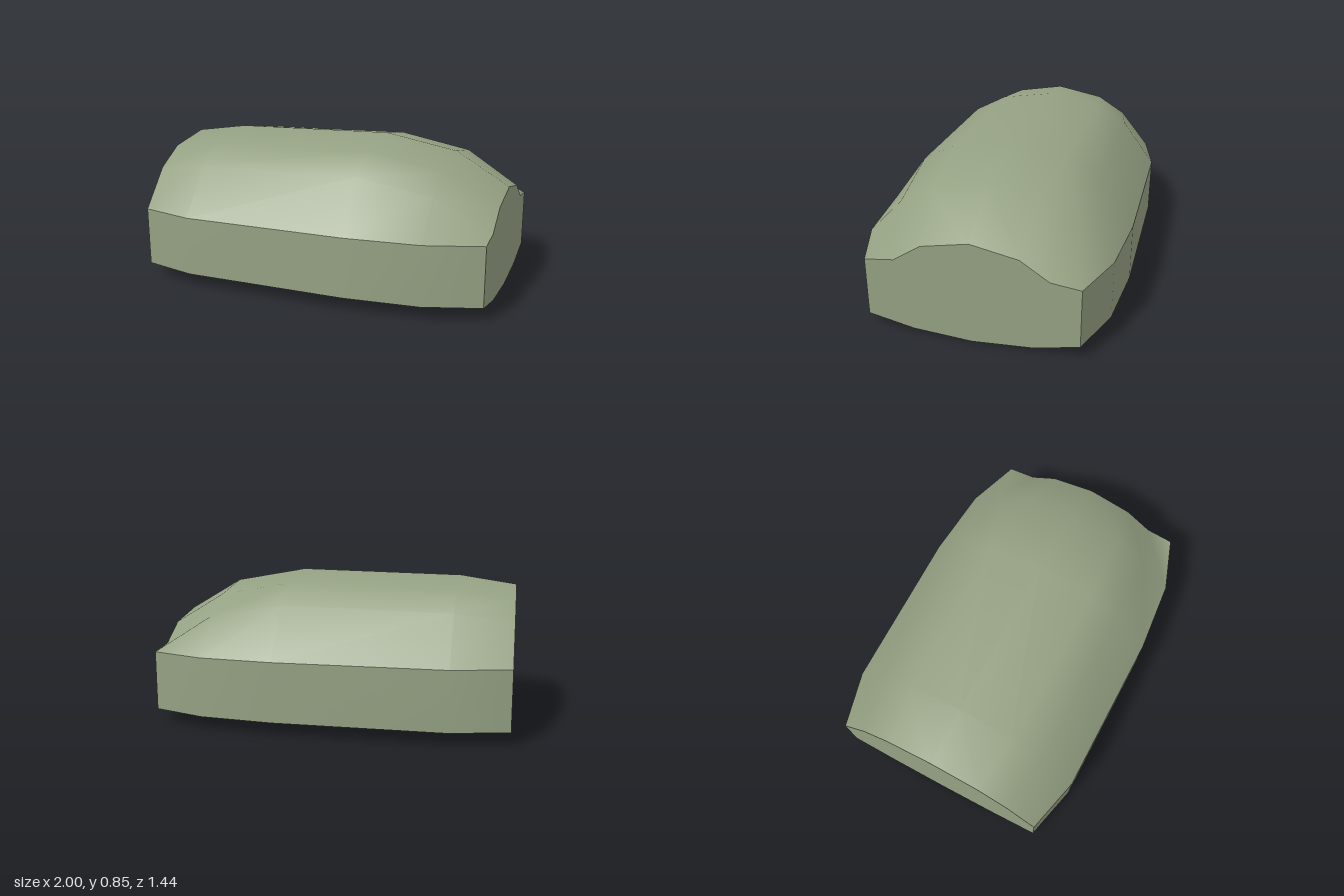
import * as THREE from 'three';

// Stations along the length: x, half width, crown height
const stations = [
  [-1, 0.627, 0.78],
  [-0.68, 0.708, 0.827],
  [0.27, 0.72, 0.845],
  [0.69, 0.685, 0.768],
  [1, 0.58, 0.585],
];
const SILL = 0.075;
const SHOULDER = 0.41;

// Cross-section strips as [z, y], running anticlockwise seen from -x
const roof = ([, w, top]) => [
  [w, SHOULDER], [w * 0.72, top - 0.155], [w * 0.45, top - 0.052], [0, top],
  [-w * 0.45, top - 0.052], [-w * 0.72, top - 0.155], [-w, SHOULDER],
];
const nearWall = ([, w]) => [[w, SILL], [w, SHOULDER]];
const farWall = ([, w]) => [[-w, SHOULDER], [-w, SILL]];
const belly = ([, w]) => [
  [-w, SILL], [-w * 0.56, 0.022], [0, 0], [w * 0.56, 0.022], [w, SILL],
];

// Smooth skin stretched along the stations
function loft(profile) {
  const positions = [];
  const index = [];
  const n = profile(stations[0]).length;
  stations.forEach((s, i) => {
    for (const [z, y] of profile(s)) positions.push(s[0], y, z);
    if (i === 0) return;
    for (let j = 0; j < n - 1; j++) {
      const a = (i - 1) * n + j;
      const b = i * n + j;
      index.push(a, b, b + 1, a, b + 1, a + 1);
    }
  });
  const geometry = new THREE.BufferGeometry();
  geometry.setAttribute('position', new THREE.Float32BufferAttribute(positions, 3));
  geometry.setIndex(index);
  geometry.computeVertexNormals();
  return geometry;
}

// Flat end panel closing the full cross-section
function endPanel(station, side) {
  const outline = [...roof(station), ...belly(station)].map(([z, y]) => new THREE.Vector2(z, y));
  const geometry = new THREE.ShapeGeometry(new THREE.Shape(outline));
  geometry.rotateY(side * Math.PI / 2);
  geometry.translate(station[0], 0, 0);
  return geometry;
}

export function createModel() {
  const model = new THREE.Group();
  model.name = 'roundedShell';
  const shell = new THREE.MeshStandardMaterial({ color: 0x95a183 });
  shell.name = 'sageGreen';
  const base = new THREE.MeshStandardMaterial({ color: 0x4a4d46 });
  base.name = 'charcoal';

  const add = (name, geometry, material) => {
    const mesh = new THREE.Mesh(geometry, material);
    mesh.name = name;
    model.add(mesh);
  };

  add('roof', loft(roof), shell);
  add('frontWall', loft(nearWall), shell);
  add('backWall', loft(farWall), shell);
  add('leftEndPanel', endPanel(stations[stations.length - 1], 1), shell);
  add('rightEndPanel', endPanel(stations[0], -1), shell);
  add('underside', loft(belly), base);
  return model;
}
